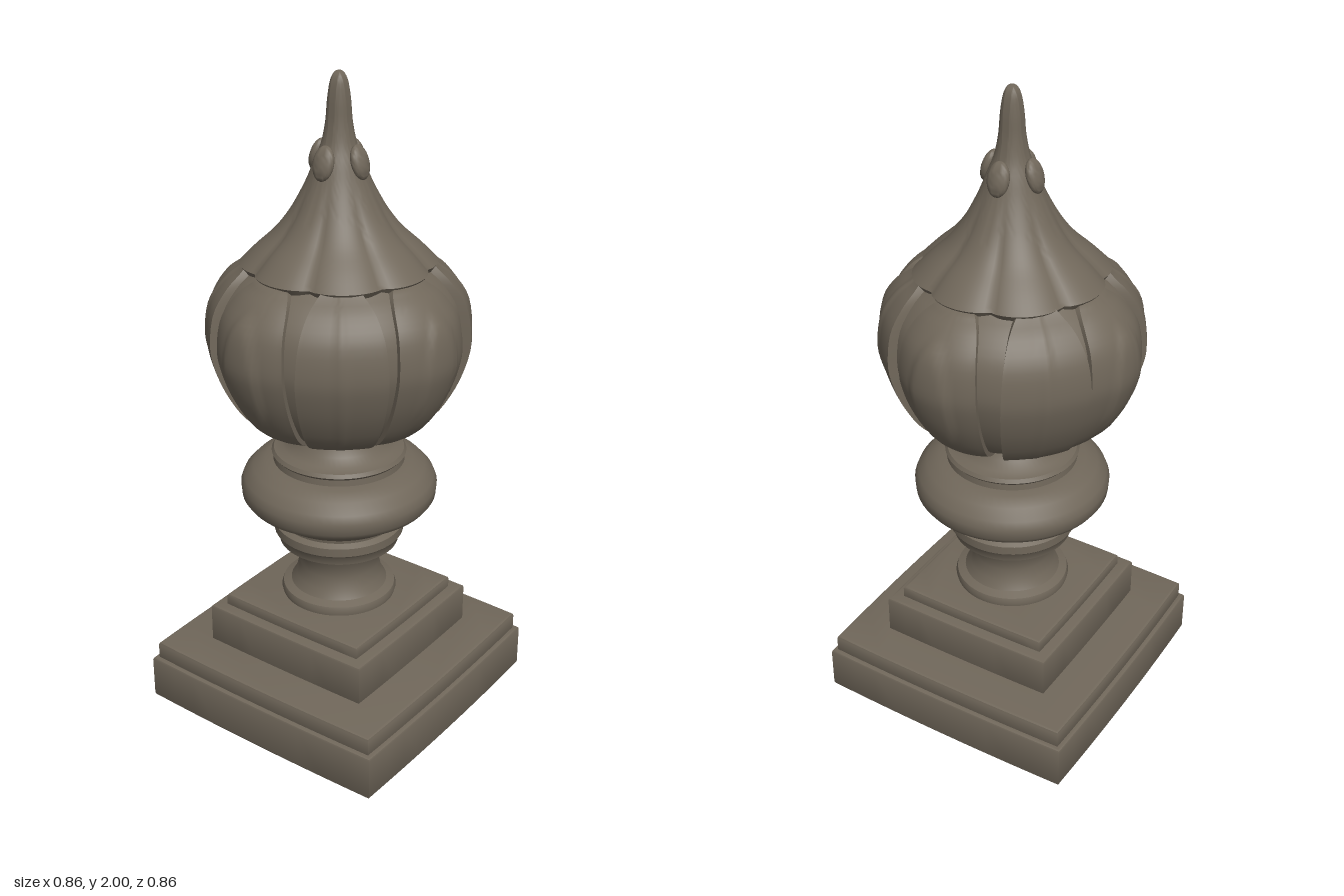
import * as THREE from 'three';
import { toCreasedNormals } from 'three/addons/utils/BufferGeometryUtils.js';

const stone = new THREE.MeshStandardMaterial({ color: 0x70675a });
stone.name = 'weathered stone';

const v2 = (list) => list.map(([x, y]) => new THREE.Vector2(x, y));

// Outer curve of the bud, bottom to top: radius, height
const budCurve = new THREE.SplineCurve(v2([
  [0.15, 0.94], [0.225, 0.955], [0.3, 1.0], [0.36, 1.09], [0.395, 1.18], [0.405, 1.25],
  [0.39, 1.34], [0.345, 1.405], [0.295, 1.445], [0.25, 1.485],
]));

function addMesh(parent, name, geometry, crease = 0.6) {
  const mesh = new THREE.Mesh(toCreasedNormals(geometry, crease), stone);
  mesh.name = name;
  parent.add(mesh);
  return mesh;
}

// Square slab with slightly bowed sides and softened edges
function slab(half, bow, y0, y1, bevel = 0.008) {
  const h = half - bevel, c = h + bow * 2;
  const s = new THREE.Shape();
  s.moveTo(-h, -h);
  s.quadraticCurveTo(0, -c, h, -h);
  s.quadraticCurveTo(c, 0, h, h);
  s.quadraticCurveTo(0, c, -h, h);
  s.quadraticCurveTo(-c, 0, -h, -h);
  const g = new THREE.ExtrudeGeometry(s, {
    depth: y1 - y0 - 2 * bevel, bevelEnabled: true, bevelSize: bevel,
    bevelThickness: bevel, bevelSegments: 2, curveSegments: 10,
  });
  g.rotateX(-Math.PI / 2);
  g.translate(0, y0 + bevel, 0);
  return g;
}

// Closed skin over equal loops of points, with a fan at each end
function skin(loops) {
  const n = loops[0].length, pos = loops.flat().flatMap((p) => p.toArray()), idx = [];
  for (let i = 0; i < loops.length - 1; i++) {
    for (let j = 0; j < n; j++) {
      const a = i * n + j, b = i * n + (j + 1) % n;
      idx.push(a, a + n, b, b, a + n, b + n);
    }
  }
  [0, loops.length - 1].forEach((i) => {
    const mid = new THREE.Vector3();
    loops[i].forEach((p) => mid.addScaledVector(p, 1 / n));
    const c = pos.length / 3;
    pos.push(...mid.toArray());
    for (let j = 0; j < n; j++) {
      const a = i * n + j, b = i * n + (j + 1) % n;
      if (i === 0) idx.push(c, a, b); else idx.push(c, b, a);
    }
  });
  const g = new THREE.BufferGeometry();
  g.setAttribute('position', new THREE.Float32BufferAttribute(pos, 3));
  g.setIndex(idx);
  return g;
}

// Thick petal wrapped on the bud; pointed ones taper to a tip, broad ones have a raised leaf
function petal(angle, pointed) {
  const rows = 32, cols = 20, loops = [];
  const end = pointed ? 1 : 0.9;
  for (let i = 0; i <= rows; i++) {
    const t = i / rows, p = budCurve.getPoint(t * end);
    const half = pointed
      ? 0.34 * Math.sqrt(Math.max(0.004, 1 - Math.pow(t, 5)))
      : 0.36 * (1 - 0.35 * Math.pow(t, 8));
    const outer = [], inner = [];
    for (let j = 0; j <= cols; j++) {
      const u = (j / cols) * 2 - 1, a = angle + u * half;
      let r = p.x;
      if (pointed) {
        r *= 0.955 + 0.015 * u * u + 0.012 * Math.max(0, 1 - Math.abs(u) * 5);
      } else {
        const d = Math.hypot(u / (0.48 - 0.2 * (p.y - 1.2)), (p.y - 1.2) / 0.19);
        r *= 1 - 0.045 * u * u;
        r += 0.008 * THREE.MathUtils.smoothstep(1.08 - d, 0, 0.25) - 0.006;
      }
      outer.push(new THREE.Vector3(r * Math.cos(a), p.y, r * Math.sin(a)));
      const q = p.x - 0.065;
      inner.unshift(new THREE.Vector3(q * Math.cos(a), p.y, q * Math.sin(a)));
    }
    loops.push([...outer, ...inner]);
  }
  return skin(loops);
}

export function createModel() {
  const model = new THREE.Group();
  model.name = 'finial';

  // Stepped square plinth
  addMesh(model, 'plinthLower', slab(0.425, 0.007, 0, 0.145));
  addMesh(model, 'plinthUpper', slab(0.41, 0.007, 0.13, 0.2));
  addMesh(model, 'stepLower', slab(0.288, 0.003, 0.19, 0.325));
  addMesh(model, 'stepUpper', slab(0.252, 0.003, 0.31, 0.362));

  // Turned stem with collars and wide ring
  addMesh(model, 'stem', new THREE.LatheGeometry(v2([
    [0, 0.355], [0.175, 0.355], [0.18, 0.375], [0.175, 0.39], [0.15, 0.4], [0.135, 0.425],
    [0.126, 0.465], [0.132, 0.505], [0.15, 0.54], [0.185, 0.55], [0.19, 0.575], [0.2, 0.585],
    [0.2, 0.612], [0.183, 0.622], [0.185, 0.635], [0.215, 0.65], [0.25, 0.675], [0.285, 0.698],
    [0.297, 0.715], [0.3, 0.75], [0.29, 0.775], [0.262, 0.805], [0.225, 0.822], [0.2, 0.826],
    [0.198, 0.845], [0.205, 0.853], [0.198, 0.864], [0.17, 0.87], [0.147, 0.892], [0.135, 0.92],
    [0.15, 0.94], [0, 0.95],
  ]), 64));

  // Bud core behind the petals
  const core = budCurve.getPoints(30).map((p) => new THREE.Vector2(p.x - 0.04, p.y));
  core.unshift(new THREE.Vector2(0, 0.94));
  addMesh(model, 'budCore', new THREE.LatheGeometry(core, 64));

  // Eight petals: broad and pointed in turn
  const petals = new THREE.Group();
  petals.name = 'petals';
  model.add(petals);
  [7, 52, 98, 141, 183, 224, 274, 320].forEach((deg, i) => {
    const pointed = i % 2 === 1;
    addMesh(petals, pointed ? 'pointedPetal' : 'broadPetal',
      petal(THREE.MathUtils.degToRad(deg), pointed), 0.7);
  });

  // Fluted cap sweeping up to the tip
  const capCurve = new THREE.SplineCurve(v2([
    [0.285, 1.455], [0.24, 1.5], [0.185, 1.55], [0.145, 1.6], [0.115, 1.65], [0.09, 1.7],
    [0.07, 1.75], [0.05, 1.8], [0.038, 1.86], [0.033, 1.92], [0.025, 1.97], [0.013, 1.994], [0, 2],
  ]));
  const cap = new THREE.LatheGeometry([...v2([[0.2, 1.435], [0.272, 1.437]]), ...capCurve.getPoints(40)], 96);
  const pos = cap.attributes.position;
  for (let i = 0; i < pos.count; i++) {
    const x = pos.getX(i), y = pos.getY(i), z = pos.getZ(i);
    const lobe = Math.abs(Math.cos(4 * (Math.atan2(z, x) - 0.08)));
    const depth = 0.1 * (1 - THREE.MathUtils.smoothstep(y, 1.5, 1.78));
    const k = 1 - depth * (1 - Math.sqrt(lobe));
    pos.setXYZ(i, x * k, y, z * k);
  }
  addMesh(model, 'flutedCap', cap, 0.7);

  // Four small buds around the neck of the tip
  for (let i = 0; i < 4; i++) {
    const g = new THREE.SphereGeometry(1, 20, 14);
    g.scale(0.02, 0.05, 0.034);
    g.rotateZ(0.3);
    g.translate(0.072, 1.755, 0);
    g.rotateY(i * Math.PI / 2);
    addMesh(model, 'neckBud', g);
  }

  return model;
}
